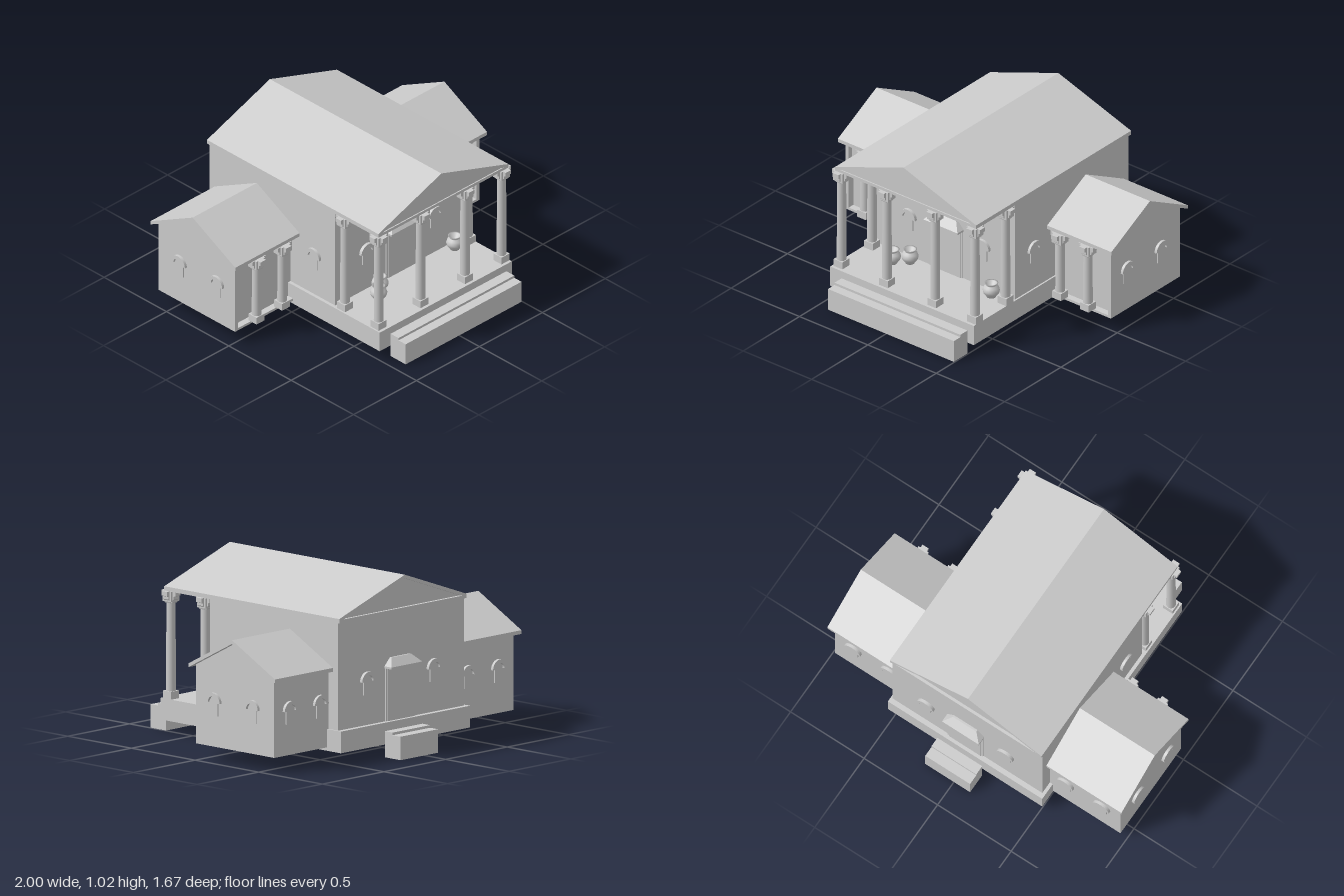
import * as THREE from 'three';

const mat = new THREE.MeshStandardMaterial({ color: 0xcccccc, side: THREE.DoubleSide });

function add(parent, name, geo, x = 0, y = 0, z = 0) {
  const m = new THREE.Mesh(geo, mat);
  m.name = name;
  m.position.set(x, y, z);
  parent.add(m);
  return m;
}

// Box given by its limits on each axis
function block(parent, name, x0, x1, y0, y1, z0, z1) {
  return add(parent, name, new THREE.BoxGeometry(x1 - x0, y1 - y0, z1 - z0),
    (x0 + x1) / 2, (y0 + y1) / 2, (z0 + z1) / 2);
}

const polygon = pts => new THREE.Shape(pts.map(p => new THREE.Vector2(...p)));

// Profile in (x, y) extruded from z0 to z1
function prismZ(pts, z0, z1) {
  return new THREE.ExtrudeGeometry(polygon(pts), { depth: z1 - z0, bevelEnabled: false }).translate(0, 0, z0);
}

// Profile in (z, y) extruded from x0 to x1
function prismX(pts, x0, x1) {
  return prismZ(pts, -x1, -x0).rotateY(-Math.PI / 2);
}

// Column with a square base and a stepped, cross-shaped capital
function column(parent, name, x, y0, y1, z) {
  const g = new THREE.Group();
  g.name = name;
  g.position.set(x, 0, z);
  block(g, 'columnBase', -0.032, 0.032, y0, y0 + 0.045, -0.032, 0.032);
  const h = y1 - y0 - 0.08;
  add(g, 'columnShaft', new THREE.CylinderGeometry(0.026, 0.028, h, 16), 0, y0 + 0.04 + h / 2, 0);
  const half = [[0.028, -0.068], [0.035, -0.05], [0.042, -0.045], [0.042, -0.03], [0.054, -0.025], [0.054, 0]];
  const pts = [...half, ...half.map(([a, b]) => [-a, b]).reverse()];
  for (const turn of [0, Math.PI / 2])
    add(g, 'capitalArm', prismZ(pts, -0.021, 0.021), 0, y1, 0).rotation.y = turn;
  block(g, 'capitalCore', -0.034, 0.034, y1 - 0.06, y1, -0.034, 0.034);
  parent.add(g);
}

// Arched window with a half-round hood; y is the springing height
function archWindow(parent, x, y, z, turn) {
  const g = new THREE.Group();
  g.name = 'archedWindow';
  g.position.set(x, y, z);
  g.rotation.y = turn;
  const pane = new THREE.Shape();
  pane.moveTo(-0.032, -0.077);
  pane.lineTo(0.032, -0.077);
  pane.lineTo(0.032, 0);
  pane.absarc(0, 0, 0.032, 0, Math.PI);
  const hood = new THREE.Shape();
  hood.absarc(0, 0, 0.056, 0, Math.PI);
  hood.absarc(0, 0, 0.036, Math.PI, 0, true);
  add(g, 'windowPane', new THREE.ExtrudeGeometry(pane, { depth: 0.014, bevelEnabled: false, curveSegments: 10 }), 0, 0, -0.006);
  add(g, 'windowHood', new THREE.ExtrudeGeometry(hood, { depth: 0.024, bevelEnabled: false, curveSegments: 12 }), 0, 0, -0.006);
  parent.add(g);
}

// Door with a hipped hood
function door(parent, x, z, turn) {
  const g = new THREE.Group();
  g.name = 'door';
  g.position.set(x, 0, z);
  g.rotation.y = turn;
  block(g, 'doorFrame', -0.12, 0.12, 0.195, 0.5, -0.01, 0.006);
  block(g, 'doorPanel', -0.108, 0.108, 0.195, 0.5, -0.01, 0.01);
  block(g, 'doorHoodEdge', -0.125, 0.125, 0.5, 0.512, -0.01, 0.055);
  // Hood narrows upward toward the wall
  const geo = new THREE.BoxGeometry(0.25, 0.046, 0.065).translate(0, 0.535, 0.0225);
  const p = geo.attributes.position;
  for (let i = 0; i < p.count; i++) if (p.getY(i) > 0.53) {
    p.setX(i, p.getX(i) * 0.64);
    if (p.getZ(i) > 0) p.setZ(i, 0.012);
  }
  geo.computeVertexNormals();
  add(g, 'doorHood', geo);
  parent.add(g);
}

function jar(parent, x, z) {
  const pts = [[0, 0], [0.026, 0], [0.03, 0.008], [0.045, 0.028], [0.049, 0.045], [0.043, 0.064],
    [0.03, 0.074], [0.03, 0.08], [0.04, 0.09], [0.03, 0.088], [0.022, 0.07], [0, 0.06]];
  add(parent, 'jar', new THREE.LatheGeometry(pts.map(p => new THREE.Vector2(...p)), 20), x, 0.195, z);
}

function wing(side) {
  const g = new THREE.Group();
  g.name = side > 0 ? 'leftWing' : 'rightWing';
  const span = (a, b) => (side > 0 ? [a, b] : [-b, -a]);
  const mid = -0.29;
  add(g, 'wingWalls', prismX([[-0.593, 0.09], [-0.02, 0.09], [-0.02, 0.57], [mid, 0.715], [-0.593, 0.55]], ...span(0.49, 0.97)));
  // Shallow porch recess framed by end wall, floor lip and upper panel
  add(g, 'wingEndWall', prismX([[-0.03, 0.09], [0.02, 0.09], [0.02, 0.545], [-0.03, 0.57]], ...span(0.947, 0.97)));
  block(g, 'wingFloorLip', ...span(0.49, 0.97), 0.09, 0.105, -0.03, 0.02);
  block(g, 'wingUpperPanel', ...span(0.49, 0.95), 0.405, 0.56, -0.03, -0.01);
  add(g, 'wingRoof', prismX([[0.052, 0.528], [0.052, 0.55], [mid, 0.73], [-0.628, 0.55], [-0.628, 0.528], [mid, 0.708]], ...span(0.49, 1)));
  for (const x of [0.612, 0.815]) column(g, 'wingColumn', side * x, 0.105, 0.528, 0.036);
  for (const z of [-0.123, -0.423]) archWindow(g, side * 0.968, 0.345, z, side * Math.PI / 2);
  for (const x of [0.6, 0.845]) archWindow(g, side * x, 0.345, -0.592, Math.PI);
  return g;
}

export function createModel() {
  const root = new THREE.Group();
  root.name = 'columnedHouse';

  // Platform and steps
  block(root, 'platform', -0.51, 0.54, 0.07, 0.195, -0.7, 0.715);
  block(root, 'frontLowerStep', -0.425, 0.495, 0, 0.135, 0.717, 0.838);
  block(root, 'frontUpperStep', -0.425, 0.495, 0.135, 0.15, 0.717, 0.78);
  block(root, 'backLowerStep', -0.11, 0.195, 0, 0.135, -0.835, -0.712);
  block(root, 'backUpperStep', -0.11, 0.195, 0.135, 0.15, -0.772, -0.712);

  // Hall with gabled roof
  block(root, 'hallWalls', -0.49, 0.53, 0.195, 0.82, -0.67, 0.338);
  block(root, 'cornice', -0.495, 0.537, 0.815, 0.833, -0.685, 0.69);
  add(root, 'gable', prismZ([[-0.48, 0.825], [0.52, 0.825], [0.005, 1.005]], -0.668, 0.683));
  add(root, 'hallRoof', prismZ([[-0.495, 0.82], [-0.495, 0.84], [0.005, 1.02], [0.537, 0.84], [0.537, 0.82], [0.005, 1.0]], -0.685, 0.69));

  // Portico columns
  for (const x of [-0.468, -0.136, 0.217, 0.508]) column(root, 'frontColumn', x, 0.195, 0.816, 0.665);
  for (const x of [-0.468, 0.508]) column(root, 'sideColumn', x, 0.195, 0.816, 0.395);

  // Hall openings
  door(root, 0.03, 0.338, 0);
  door(root, 0.03, -0.67, Math.PI);
  for (const x of [-0.243, 0.297]) {
    archWindow(root, x, 0.447, 0.338, 0);
    archWindow(root, x, 0.447, -0.67, Math.PI);
  }
  archWindow(root, 0.528, 0.447, 0.17, Math.PI / 2);
  archWindow(root, -0.488, 0.447, 0.17, -Math.PI / 2);

  for (const [x, z] of [[-0.265, 0.46], [-0.19, 0.395], [0.404, 0.395]]) jar(root, x, z);

  root.add(wing(1), wing(-1));
  return root;
}
